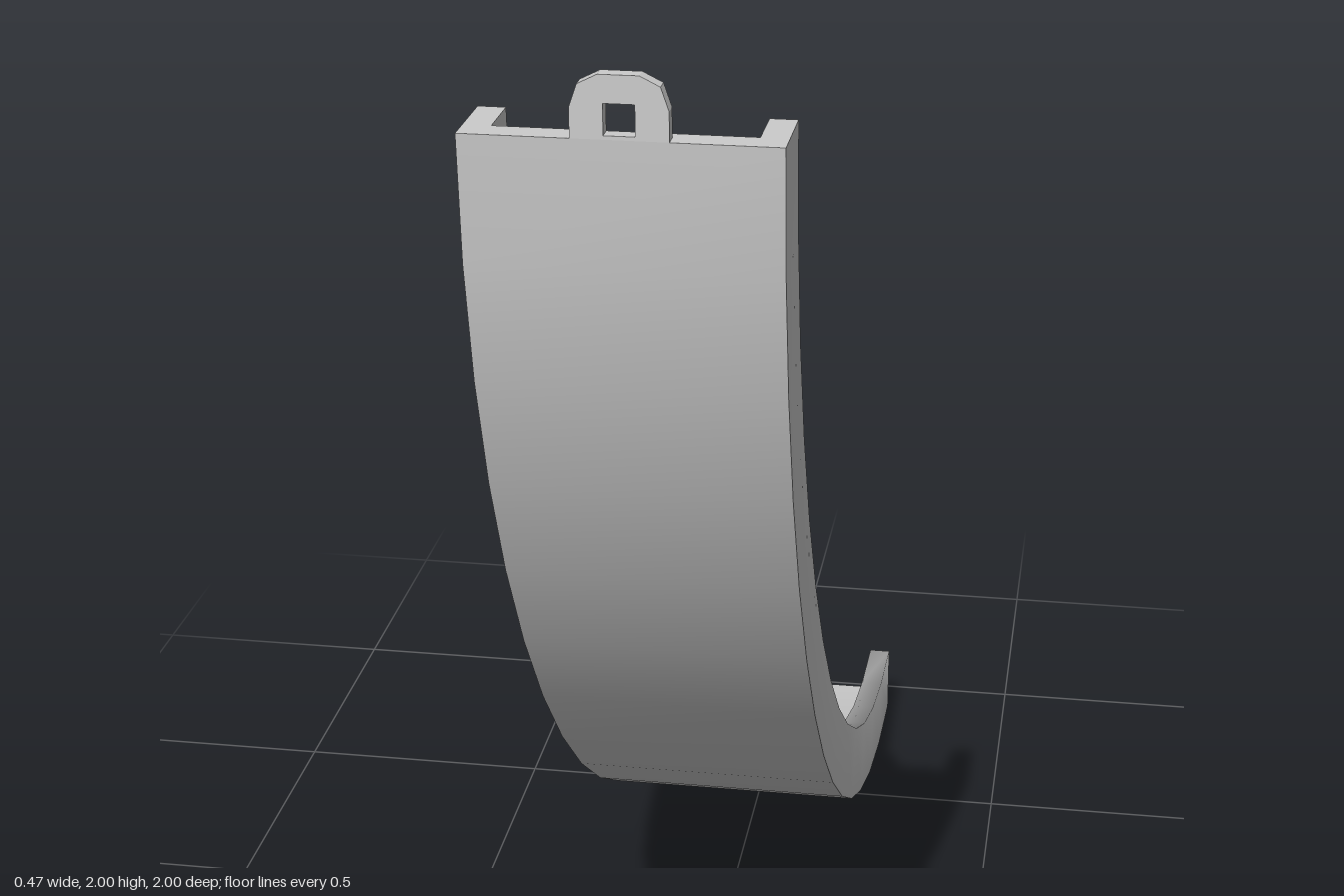
import * as THREE from 'three';
import { mergeGeometries } from 'three/addons/utils/BufferGeometryUtils.js';

const R = 1.905;              // height and reach of the curve
const W = 0.2375, WI = 0.195; // outer and inner half widths
const RIM = 0.14;             // height of the side walls
const FLOOR = 0.045;          // thickness of the channel floor
const TAB = 0.025;            // tab thickness
const STEPS = 14;             // segments along the curve

// Underside of the track in (z, y), from the upper end to the lower end
const BEND = 0.495;
const path = new THREE.CubicBezierCurve(
  new THREE.Vector2(1, R),
  new THREE.Vector2(1, R * (1 - BEND)),
  new THREE.Vector2(1 - R + R * BEND, 0),
  new THREE.Vector2(1 - R, 0),
);

// Sweep a strip of (x, depth) points along the path
function sweep(points) {
  const columns = points.length;
  const geometry = new THREE.PlaneGeometry(1, 1, columns - 1, STEPS);
  for (let i = 0; i <= STEPS; i++) {
    const p = path.getPoint(i / STEPS);
    const t = path.getTangent(i / STEPS);
    points.forEach(([x, d], j) =>
      geometry.attributes.position.setXYZ(i * columns + j, x, p.y - t.x * d, p.x + t.y * d));
  }
  geometry.computeVertexNormals();
  return geometry;
}

const toPoints = (list) => list.map(([x, y]) => new THREE.Vector2(x, y));

// U-shaped channel: underside, floor, two walls with softened rims, end caps
function channelGeometry() {
  const wall = [[W, 0], [W, RIM], [WI, RIM], [WI, FLOOR]];
  const mirrored = wall.map(([x, d]) => [-x, d]).reverse();
  const cap = () => new THREE.ShapeGeometry(new THREE.Shape(toPoints([...wall, ...mirrored])));
  return mergeGeometries([
    sweep([[-W, 0], [W, 0]]),
    sweep([[WI, FLOOR], [-WI, FLOOR]]),
    sweep(wall),
    sweep(mirrored),
    cap().rotateX(-Math.PI / 2).translate(0, R, 1),
    cap().rotateY(Math.PI).translate(0, 0, 1 - R),
  ]);
}

// Rounded connector tab with a square hole, standing on its base edge
function tabGeometry() {
  const half = [[0.072, 0], [0.072, 0.045], [0.06, 0.08], [0.03, 0.095]];
  const outline = [...half, ...half.map(([x, y]) => [-x, y]).reverse()];
  const shape = new THREE.Shape(toPoints(outline));
  shape.holes.push(new THREE.Path(toPoints(
    [[-0.023, 0.006], [-0.023, 0.053], [0.023, 0.053], [0.023, 0.006]])));
  return new THREE.ExtrudeGeometry(shape, { depth: TAB, bevelEnabled: false });
}

export function createModel() {
  const group = new THREE.Group();
  group.name = 'curvedTrack';
  const material = new THREE.MeshStandardMaterial({ color: 0xcccccc });

  const add = (name, geometry) => {
    const mesh = new THREE.Mesh(geometry, material);
    mesh.name = name;
    group.add(mesh);
    return mesh;
  };

  add('channel', channelGeometry());

  // Tab rising from the upper end
  add('upperTab', tabGeometry()).position.set(0, R, 1 - TAB);

  // Tab lying flat behind the lower end
  const lowerTab = add('lowerTab', tabGeometry());
  lowerTab.rotation.x = -Math.PI / 2;
  lowerTab.position.z = 1 - R;

  return group;
}
